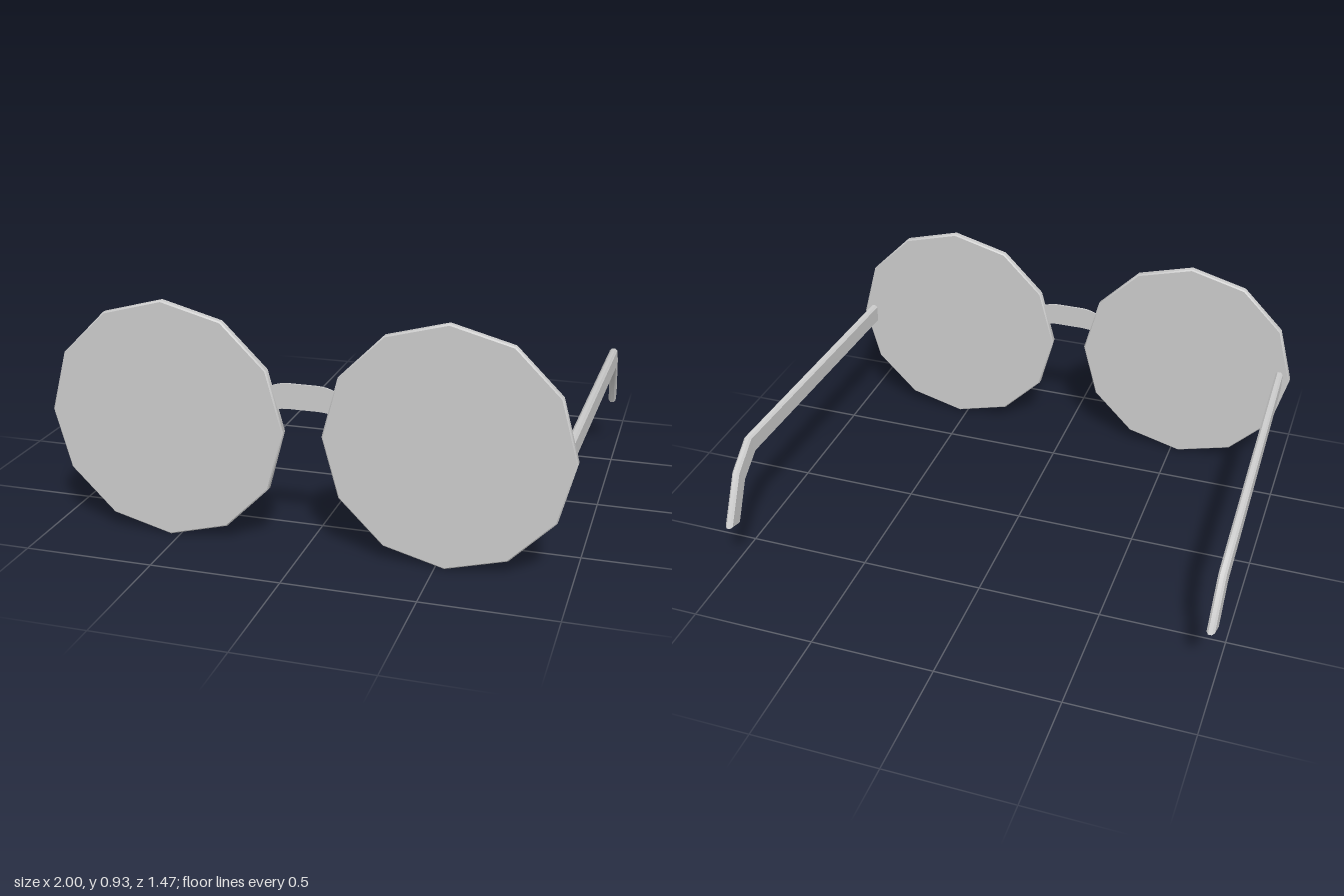
import * as THREE from 'three';
import { toCreasedNormals } from 'three/addons/utils/BufferGeometryUtils.js';

const material = new THREE.MeshStandardMaterial({ color: 0xcccccc });

// Extrudes a shape to a slab centred on z = 0, with small chamfers kept inside the outline
function slab(shape, thickness, bevel) {
  const geometry = new THREE.ExtrudeGeometry(shape, {
    depth: thickness - 2 * bevel,
    bevelEnabled: bevel > 0,
    bevelThickness: bevel,
    bevelSize: bevel,
    bevelOffset: -bevel,
    bevelSegments: 1,
    curveSegments: 8,
  });
  return geometry.translate(0, 0, bevel - thickness / 2);
}

function addPart(group, name, geometry) {
  const mesh = new THREE.Mesh(toCreasedNormals(geometry, 0.6), material);
  mesh.name = name;
  group.add(mesh);
  return mesh;
}

// Twelve-sided lens with a corner at the top
function lensGeometry() {
  const corners = [];
  for (let i = 0; i < 12; i++) {
    const a = (i * Math.PI) / 6;
    corners.push(new THREE.Vector2(0.463 * Math.cos(a), 0.463 * Math.sin(a)));
  }
  return slab(new THREE.Shape(corners), 0.03, 0.005);
}

// Sideways position of a temple arm along its length: splays out, then hooks in
function armX(z) {
  if (z > -0.47) return THREE.MathUtils.mapLinear(z, 0.71, -0.47, 0.952, 0.984);
  return THREE.MathUtils.mapLinear(z, -0.47, -0.735, 0.984, 0.97);
}

// Temple arm with a bent ear hook; outline is [-z, y]
function armGeometry(side) {
  const outline = [
    [-0.712, 0.418], [0.46, 0.428], [0.57, 0.365], [0.66, 0.21],
    [0.735, 0.235], [0.62, 0.43], [0.485, 0.512], [-0.712, 0.502],
  ].map(([a, y]) => new THREE.Vector2(a, y));
  const geometry = slab(new THREE.Shape(outline), 0.031, 0.008).rotateY(Math.PI / 2);
  const p = geometry.attributes.position;
  for (let i = 0; i < p.count; i++) p.setX(i, p.getX(i) + side * armX(p.getZ(i)));
  return geometry;
}

// Thin arched strip joining the lenses
function bridgeGeometry() {
  const s = new THREE.Shape();
  s.moveTo(-0.125, 0.545);
  s.quadraticCurveTo(-0.09, 0.556, -0.05, 0.556);
  s.lineTo(0.05, 0.556);
  s.quadraticCurveTo(0.09, 0.556, 0.125, 0.545);
  s.lineTo(0.125, 0.636);
  s.quadraticCurveTo(0.09, 0.653, 0.05, 0.653);
  s.lineTo(-0.05, 0.653);
  s.quadraticCurveTo(-0.09, 0.653, -0.125, 0.636);
  s.closePath();
  return slab(s, 0.007, 0);
}

export function createModel() {
  const group = new THREE.Group();
  group.name = 'glasses';
  for (const [label, side] of [['left', 1], ['right', -1]]) {
    addPart(group, label + 'Lens', lensGeometry()).position.set(side * 0.536, 0.465, 0.72);
    addPart(group, label + 'Temple', armGeometry(side));
  }
  addPart(group, 'bridge', bridgeGeometry()).position.z = 0.718;
  return group;
}
